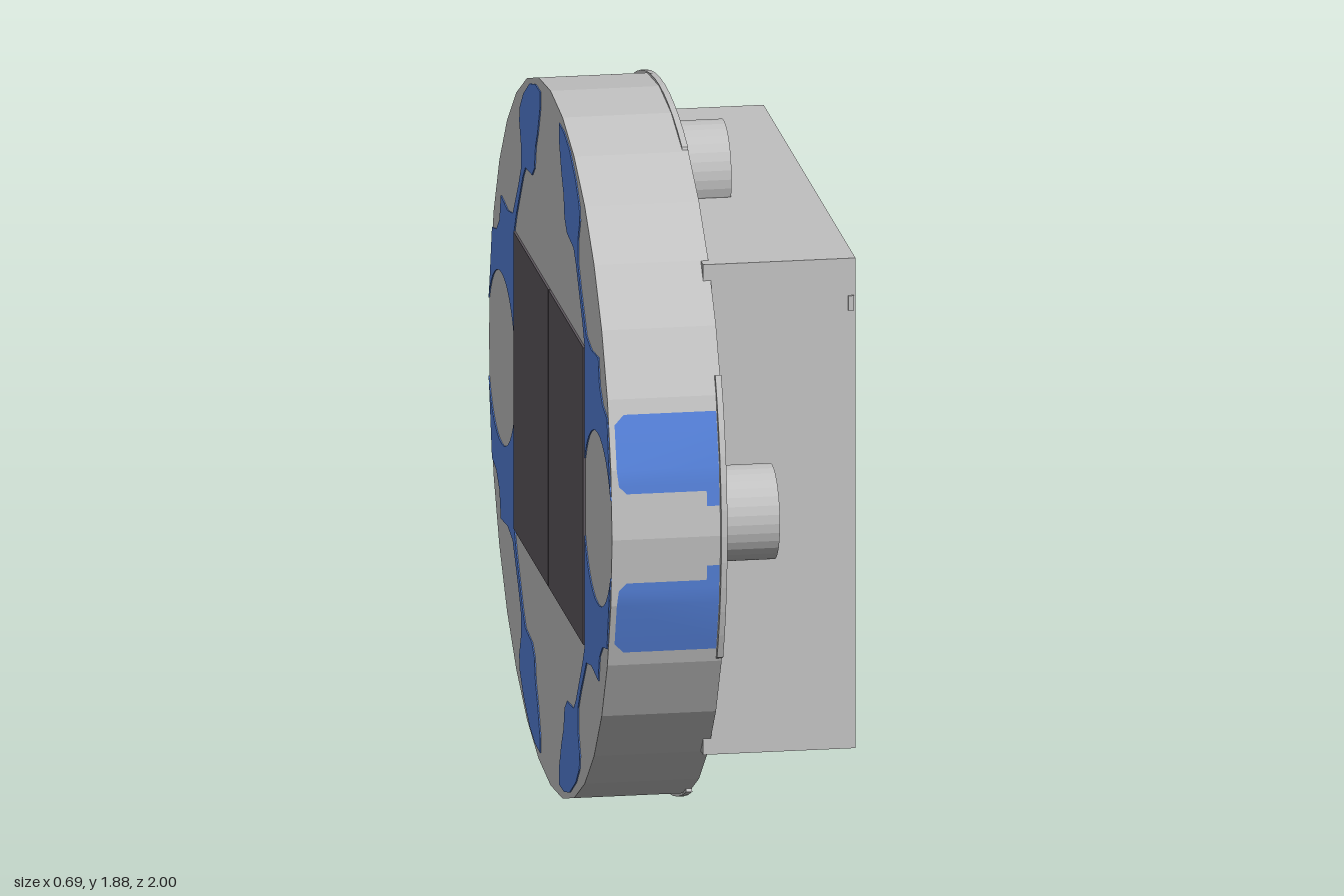
import * as THREE from 'three';

const CY = 0.94, RY = 0.935, RZ = 0.985; // disc centre height and radii

export function createModel() {
  const model = new THREE.Group();
  const mat = (name, color, opts = {}) => {
    const m = new THREE.MeshStandardMaterial({ color, ...opts });
    m.name = name;
    return m;
  };
  const grey = mat('grey casing', 0xc0c0c0, { flatShading: true });
  const blue = mat('blue trim', 0x5480d8, { side: THREE.DoubleSide });
  const dark = mat('dark panel', 0x5e585e);
  const add = (name, geo, material, x = 0, y = 0, z = 0) => {
    const mesh = new THREE.Mesh(geo, material);
    mesh.name = name;
    mesh.position.set(x, y, z);
    model.add(mesh);
    return mesh;
  };
  // cylinder lying along x
  const drum = (r, len, sides) => new THREE.CylinderGeometry(r, r, len, sides).rotateZ(Math.PI / 2);

  // Faceted disc and the square housing on its side
  add('disc', drum(1, 0.3, 32).scale(1, RY, RZ), grey, -0.19, CY, 0);
  add('housing', new THREE.BoxGeometry(0.4, 1.32, 1.47), grey, 0.14, CY, 0);

  // Four knobs, lips and pins around the housing
  for (let i = 0; i < 4; i++) {
    const a = i * Math.PI / 2, c = Math.cos(a), s = Math.sin(a);
    const kz = c * 0.775, ky = CY + s * 0.71;
    add('knob', drum(0.125, 0.16, 32), grey, 0.035, ky, kz);
    for (const t of [-1, 1])
      add('knobPin', drum(0.012, 0.03, 8), grey, -0.025, ky + c * t * 0.125 - s * 0.03, kz + s * t * 0.125);

    const lip = new THREE.Shape();
    for (let k = 0; k <= 12; k++) {
      const t = a + (k / 12 - 0.5) * 0.9;
      lip.lineTo(0.998 * Math.cos(t), 0.938 * Math.sin(t));
    }
    const first = a - 0.45;
    lip.currentPoint.set(0, 0);
    for (let k = 12; k >= 0; k--) {
      const t = first + k / 12 * 0.9;
      lip.lineTo(0.93 * Math.cos(t), 0.88 * Math.sin(t));
    }
    lip.curves.shift(); // drop the segment from the origin
    const pts = lip.curves.map(v => v.v2);
    const geo = new THREE.ExtrudeGeometry(new THREE.Shape(pts), { depth: 0.016, bevelEnabled: false });
    add('rimLip', geo.rotateY(-Math.PI / 2), grey, -0.039, CY, 0);
  }

  // Dark two-part panel on the flat face
  for (const s of [-1, 1])
    add('panel', new THREE.BoxGeometry(0.009, 0.8, 0.557), dark, -0.3415, CY, s * 0.2815);

  // Blue inlay for one quarter of the face, as (z, height) points
  const inlay = [
    [0.15, 0.89], [0.23, 0.888], [0.32, 0.865], [0.42, 0.81], [0.475, 0.76], [0.485, 0.72],
    [0.455, 0.66], [0.455, 0.6], [0.5, 0.54], [0.59, 0.44], [0.67, 0.425], [0.78, 0.435],
    [0.8, 0.365], [0.85, 0.325], [0.92, 0.31], [0.96, 0.15]];
  for (let d = 27; d <= 153; d += 9) {
    const t = d * Math.PI / 180;
    inlay.push([0.77 + 0.23 * Math.cos(t), 0.23 * Math.sin(t)]);
  }
  inlay.push([0.565, 0.4], [0.53, 0.455], [0.425, 0.585], [0.385, 0.62], [0.28, 0.63],
    [0.24, 0.66], [0.225, 0.72], [0.19, 0.77], [0.15, 0.85]);

  // Blue rim patch rows: height from centre and its far x edge
  const rows = [[0.08, -0.09], [0.12, -0.09], [0.12, -0.3], [0.14, -0.32],
    [0.1824, -0.325], [0.295, -0.325], [0.32, -0.3]];
  const rimZ = h => { // outline of the faceted disc
    const step = Math.PI / 16, k = Math.floor(Math.asin(h / RY) / step + 1e-3);
    const y0 = RY * Math.sin(k * step), y1 = RY * Math.sin((k + 1) * step);
    return RZ * THREE.MathUtils.lerp(Math.cos(k * step), Math.cos((k + 1) * step), (h - y0) / (y1 - y0)) + 0.003;
  };

  for (const sz of [-1, 1]) for (const sy of [-1, 1]) {
    const shape = new THREE.Shape(inlay.map(([z, y]) => new THREE.Vector2(z * sz, y * sy)));
    const face = new THREE.ExtrudeGeometry(shape, { depth: 0.005, bevelEnabled: false });
    add('faceInlay', face.rotateY(-Math.PI / 2), blue, -0.338, CY, 0);

    const pos = [], idx = [];
    rows.forEach(([h, x], i) => {
      pos.push(x, h * sy, rimZ(h) * sz, -0.057, h * sy, rimZ(h) * sz);
      if (i === 0) return;
      const a = 2 * i - 2;
      if (sz * sy > 0) idx.push(a, a + 1, a + 3, a, a + 3, a + 2);
      else idx.push(a, a + 3, a + 1, a, a + 2, a + 3);
    });
    const patch = new THREE.BufferGeometry();
    patch.setAttribute('position', new THREE.Float32BufferAttribute(pos, 3));
    patch.setIndex(idx);
    patch.computeVertexNormals();
    add('rimPatch', patch, blue, 0, CY, 0);
  }

  // Small latch pins on the housing edge
  for (const s of [-1, 1])
    add('latchPin', new THREE.BoxGeometry(0.015, 0.04, 0.01), grey, 0.328, CY + s * 0.54, s * 0.735);

  return model;
}
